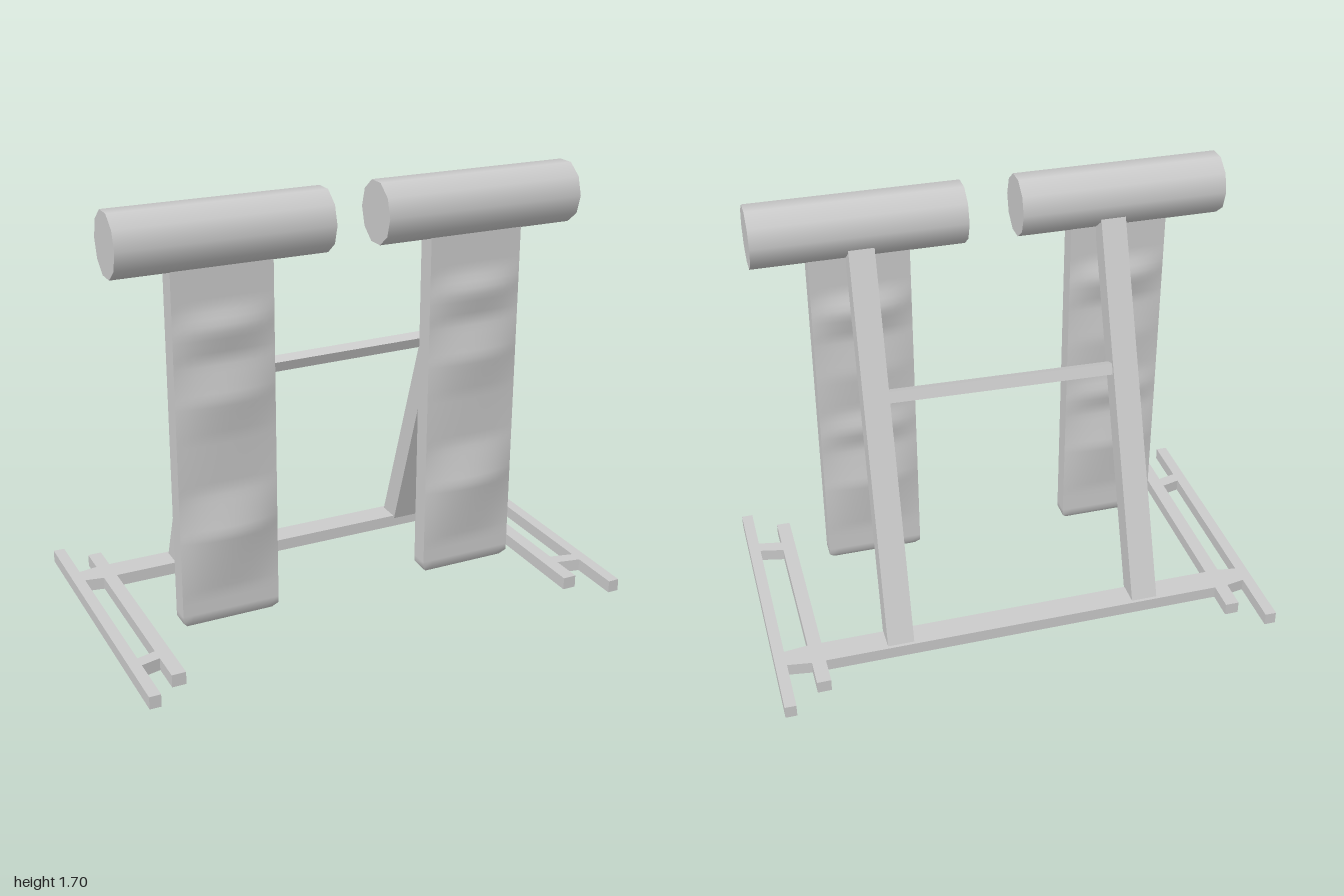
import * as THREE from 'three';

const material = new THREE.MeshStandardMaterial({ color: 0xcccccc, side: THREE.DoubleSide });

function addMesh(parent, name, geometry) {
  const mesh = new THREE.Mesh(geometry, material);
  mesh.name = name;
  parent.add(mesh);
  return mesh;
}

// Box given by its extents
function addBox(parent, name, [x0, x1], [y0, y1], [z0, z1]) {
  const mesh = addMesh(parent, name, new THREE.BoxGeometry(x1 - x0, y1 - y0, z1 - z0));
  mesh.position.set((x0 + x1) / 2, (y0 + y1) / 2, (z0 + z1) / 2);
  return mesh;
}

// Flat slab from an outline of [x, z] points, standing on the ground
function addSlab(parent, name, points, height) {
  const shape = new THREE.Shape(points.map(([x, z]) => new THREE.Vector2(x, -z)));
  const geometry = new THREE.ExtrudeGeometry(shape, { depth: height, bevelEnabled: false });
  geometry.rotateX(-Math.PI / 2);
  return addMesh(parent, name, geometry);
}

// Height of a shallow swelling at y, between [y, height] stops from top to bottom
function swelling(stops, y) {
  for (let i = 1; i < stops.length; i++) {
    const [ya, ha] = stops[i - 1], [yb, hb] = stops[i];
    if (y <= ya && y >= yb) return ha + (hb - ha) * (ya - y) / (ya - yb);
  }
  return 0;
}

const frontStops = [[1.33, 0], [1.25, 0.025], [1.13, 0], [0.98, 0.028], [0.83, 0.008], [0.62, 0], [0.45, 0.037], [0.2, 0]];
const backStops = [[1.33, 0], [1.25, 0.03], [1.13, 0], [0.97, 0.015], [0.79, 0], [0.71, 0.019], [0.62, 0], [0.45, 0.026], [0.22, 0]];

// Hanging panel: padded faces and a softened lower end
function panelGeometry(width, bottom, top, depth) {
  const height = top - bottom;
  const geometry = new THREE.BoxGeometry(width, height, depth, 10, 56, 1);
  geometry.translate(0, (top + bottom) / 2, 0);
  const p = geometry.attributes.position;
  for (let i = 0; i < p.count; i++) {
    let x = p.getX(i), z = p.getZ(i);
    const y = p.getY(i);
    const u = x / (width / 2);
    const across = 1 - u * u;
    z += z > 0 ? swelling(frontStops, y) * across : -swelling(backStops, y) * across;
    if (y < bottom + 0.01) {
      x *= 1 - 0.04 / width;
      z *= 0.5;
    }
    p.setXYZ(i, x, y, z);
  }
  geometry.computeVertexNormals();
  return geometry;
}

// Sloping leg, drawn from the side and leaning slightly inward
function legGeometry(width, centre, lean) {
  const profile = [[-0.39, 0.04], [0.13, 1.53], [0.19, 1.5], [0.19, 1.44], [-0.29, 0.04]];
  const shape = new THREE.Shape(profile.map(([z, y]) => new THREE.Vector2(-z, y)));
  const geometry = new THREE.ExtrudeGeometry(shape, { depth: width, bevelEnabled: false });
  geometry.translate(0, 0, -width / 2);
  geometry.rotateY(Math.PI / 2);
  const p = geometry.attributes.position;
  for (let i = 0; i < p.count; i++) {
    const t = p.getY(i) / 1.5;
    p.setX(i, p.getX(i) * (1 - 0.06 * t) + centre + lean * t);
  }
  geometry.computeVertexNormals();
  return geometry;
}

export function createModel() {
  const model = new THREE.Group();
  model.name = 'twinHangingFrame';

  // Base: back beam with a pair of runners at each end
  const base = new THREE.Group();
  base.name = 'base';
  model.add(base);
  const h = 0.05;
  addBox(base, 'backBeam', [-0.87, 0.85], [0, h], [-0.4, -0.295]);
  for (const [side, inner0, inner1] of [[-1, 0.825, 0.88], [1, 0.805, 0.86]]) {
    const span = (a, b) => (side > 0 ? [a, b] : [-b, -a]);
    addBox(base, 'outerRunner', span(0.955, 1), [0, h], [-0.615, 0.615]);
    addBox(base, 'innerRunner', span(inner0, inner1), [0, h], [-0.515, 0.515]);
    const a = side * (inner1 - 0.005), b = side * 0.96;
    addSlab(base, 'backLink', [[a, -0.4], [b, -0.385], [b, -0.308], [a, -0.295]], h);
    addSlab(base, 'frontLink', [[a, 0.33], [b, 0.353], [b, 0.405], [a, 0.385]], h);
  }

  // Two uprights, each with a roller, a panel and a leg
  for (const [name, x, legX, lean] of [['right', -0.545, -0.518, 0.017], ['left', 0.485, 0.503, -0.018]]) {
    const unit = new THREE.Group();
    unit.name = name + 'Unit';
    model.add(unit);

    const rollerGeometry = new THREE.CylinderGeometry(1, 1, 0.82, 10);
    rollerGeometry.rotateZ(Math.PI / 2);
    rollerGeometry.scale(1, 0.122, 0.113);
    // Turn so that a flat side is on top
    const roller = addMesh(unit, 'roller', rollerGeometry);
    const p = rollerGeometry.attributes.position;
    const atTop = Array.from({ length: p.count }, (_, i) => p.getY(i)).some((y) => y > 0.121);
    if (atTop) roller.rotation.x = Math.PI / 10;
    roller.position.set(x, 1.588, 0.227);

    const panel = addMesh(unit, 'panel', panelGeometry(0.39, 0.07, 1.49, 0.076));
    panel.position.set(x, 0, 0.227);

    addMesh(unit, 'leg', legGeometry(0.106, legX, lean));
  }

  // Thin brace between the legs, tilted with them
  const brace = addMesh(model, 'crossBrace', new THREE.BoxGeometry(0.95, 0.045, 0.045));
  brace.rotation.set(0.335, -0.006, 0.017);
  brace.position.set(-0.01, 0.965, -0.026);
  return model;
}
